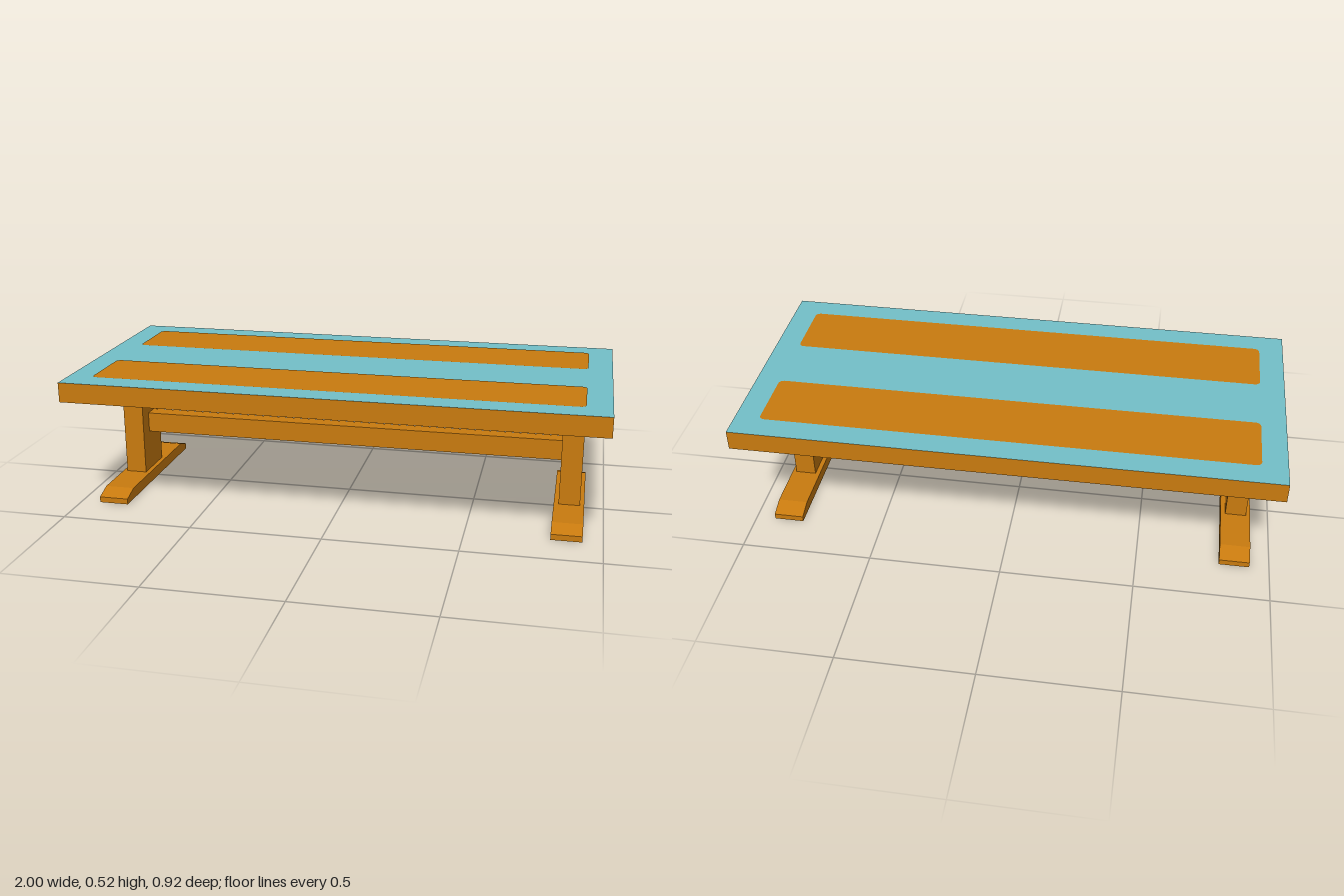
import * as THREE from 'three';

export function createModel() {
  const wood = new THREE.MeshStandardMaterial({ color: 0xc97b0f });
  wood.name = 'warm wood';
  const teal = new THREE.MeshStandardMaterial({ color: 0x74c1c9 });
  teal.name = 'pale teal';

  const model = new THREE.Group();
  model.name = 'table';

  const add = (name, geometry, material, x = 0, y = 0, z = 0) => {
    const mesh = new THREE.Mesh(geometry, material);
    mesh.name = name;
    mesh.position.set(x, y, z);
    model.add(mesh);
    return mesh;
  };

  // Table top: wooden slab with a teal upper face
  const topY = 0.518;
  add('tableTop', new THREE.BoxGeometry(2, 0.075, 0.924),
    [wood, wood, teal, wood, wood, wood], 0, topY - 0.0375, 0);

  // Rounded wooden panels on the upper face
  const hx = 0.908, hz = 0.124, r = 0.02;
  const panel = new THREE.Shape();
  panel.absarc(hx - r, hz - r, r, 0, Math.PI / 2);
  panel.absarc(-hx + r, hz - r, r, Math.PI / 2, Math.PI);
  panel.absarc(-hx + r, -hz + r, r, Math.PI, Math.PI * 1.5);
  panel.absarc(hx - r, -hz + r, r, Math.PI * 1.5, Math.PI * 2);
  const panelGeometry = new THREE.ShapeGeometry(panel, 6).rotateX(-Math.PI / 2);

  // Foot profile with sloped ends, extruded across its width
  const footWidth = 0.114;
  const foot = new THREE.Shape([
    [-0.335, 0], [0.335, 0], [0.335, 0.022], [0.27, 0.043],
    [-0.27, 0.043], [-0.335, 0.022],
  ].map(([z, y]) => new THREE.Vector2(z, y)));
  const footGeometry = new THREE.ExtrudeGeometry(foot, { depth: footWidth, bevelEnabled: false })
    .translate(0, 0, -footWidth / 2).rotateY(Math.PI / 2);

  const postGeometry = new THREE.BoxGeometry(0.08, 0.4, 0.182);

  for (const side of [1, -1]) {
    const label = side > 0 ? 'left' : 'right';
    add(side > 0 ? 'frontPanel' : 'backPanel', panelGeometry, wood, 0, topY + 0.002, side * 0.246);
    add(label + 'Post', postGeometry, wood, side * 0.87, 0.243, 0);
    add(label + 'Foot', footGeometry, wood, side * 0.869, 0, 0);
  }

  // Stretcher joining the posts
  add('stretcher', new THREE.BoxGeometry(1.66, 0.078, 0.06), wood, 0, 0.238, 0);

  return model;
}
